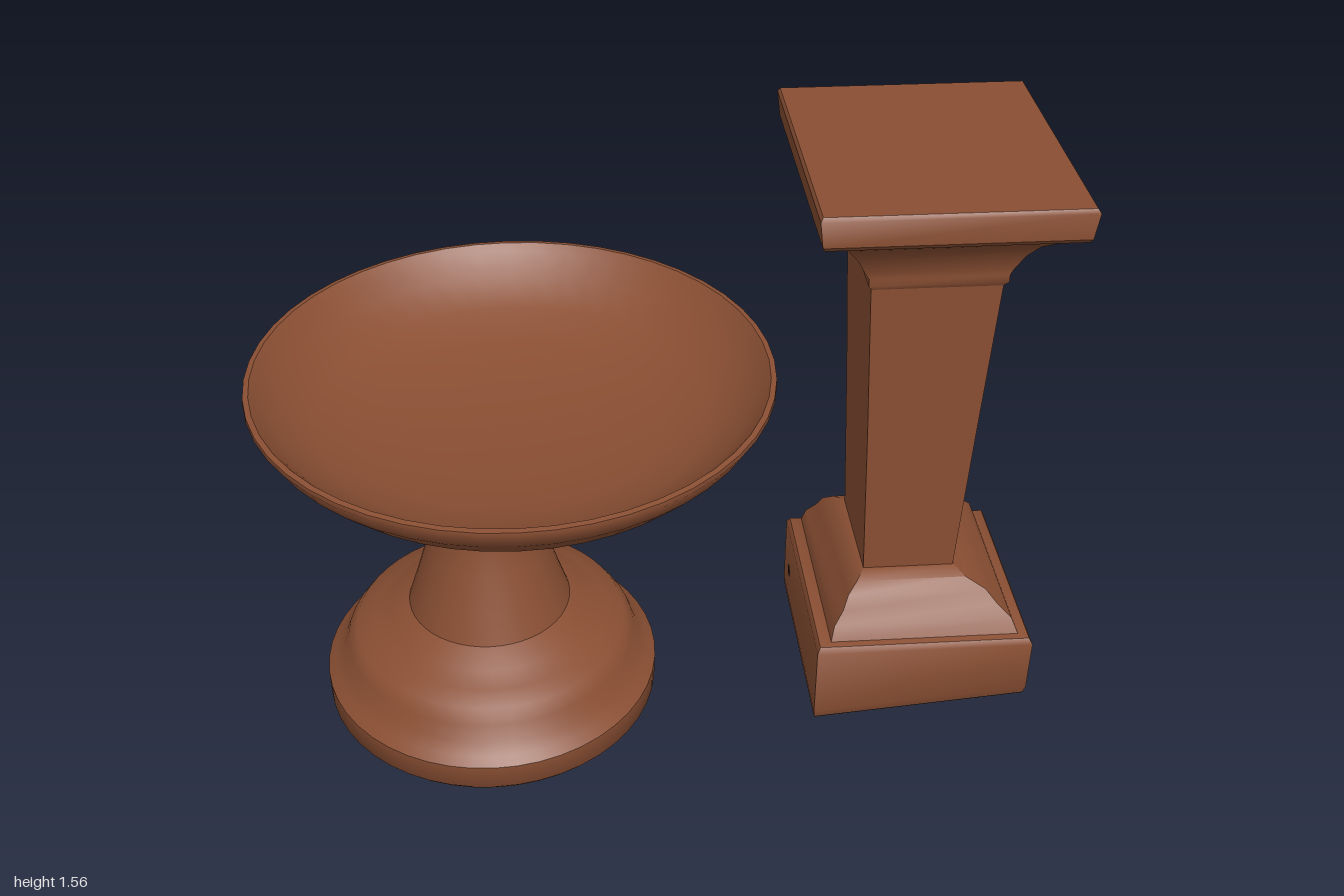
import * as THREE from 'three';
import { toCreasedNormals } from 'three/addons/utils/BufferGeometryUtils.js';

const terracotta = new THREE.MeshStandardMaterial({ color: 0x8a4f33 });
terracotta.name = 'terracotta';
const darkUnderside = new THREE.MeshStandardMaterial({ color: 0x1c1608 });
darkUnderside.name = 'dark underside';

function addMesh(parent, name, geometry, material) {
  const mesh = new THREE.Mesh(geometry, material);
  mesh.name = name;
  parent.add(mesh);
  return mesh;
}

// Round part from [radius, height] pairs, running up the outside
function turned(profile) {
  const points = profile.map(([r, y]) => new THREE.Vector2(r, y));
  return toCreasedNormals(new THREE.LatheGeometry(points, 48), 0.7);
}

// Rectangular loft from [y, x0, x1, z0, z1] rows, from bottom to top
function rectLoft(rows, capBottom, capTop) {
  const pos = [], index = [];
  for (const [y, x0, x1, z0, z1] of rows) {
    // the plinth foot is slanted, rising towards +x
    const foot = (x) => (y < 0.1 ? y + (x - 0.43) * 0.09 : y);
    for (const [x, z] of [[x0, z1], [x1, z1], [x1, z0], [x0, z0]]) pos.push(x, foot(x), z);
  }
  for (let i = 0; i < rows.length - 1; i++) {
    for (let k = 0; k < 4; k++) {
      const a = i * 4 + k, b = i * 4 + (k + 1) % 4;
      index.push(a, b, b + 4, a, b + 4, a + 4);
    }
  }
  const t = (rows.length - 1) * 4;
  if (capTop) index.push(t, t + 1, t + 2, t, t + 2, t + 3);
  if (capBottom) index.push(0, 2, 1, 0, 3, 2);
  const geometry = new THREE.BufferGeometry();
  geometry.setAttribute('position', new THREE.Float32BufferAttribute(pos, 3));
  geometry.setIndex(index);
  return toCreasedNormals(geometry, 0.65);
}

function makeBasin() {
  const basin = new THREE.Group();
  basin.name = 'birdBath';

  // Shallow bowl: outside, rolled lip, then hollow inside
  const bowl = addMesh(basin, 'bowl', turned([
    [0, 0.73], [0.17, 0.732], [0.29, 0.745], [0.4, 0.772], [0.5, 0.812], [0.58, 0.865],
    [0.635, 0.92], [0.665, 0.968], [0.664, 0.98], [0.65, 0.982], [0.635, 0.965],
    [0.59, 0.915], [0.5, 0.862], [0.38, 0.825], [0.22, 0.803], [0, 0.795],
  ]), terracotta);
  bowl.position.x = -0.333;
  bowl.scale.z = 1.057;

  // Flared pedestal with moulded foot and collar
  const pedestal = addMesh(basin, 'pedestal', turned([
    [0.43, 0.01], [0.443, 0.025], [0.445, 0.09], [0.425, 0.11], [0.4, 0.135], [0.385, 0.175],
    [0.36, 0.21], [0.31, 0.225], [0.27, 0.255], [0.215, 0.285], [0.19, 0.36], [0.16, 0.46],
    [0.138, 0.55], [0.136, 0.62], [0.145, 0.68], [0.17, 0.695], [0.18, 0.71], [0.172, 0.735],
  ]), terracotta);
  pedestal.position.x = -0.415;
  pedestal.scale.z = 1.075;

  const underside = addMesh(basin, 'pedestalUnderside', new THREE.CircleGeometry(0.43, 48), darkUnderside);
  underside.rotation.x = Math.PI / 2;
  underside.scale.y = 1.075;
  underside.position.set(-0.415, 0.01, 0);
  return basin;
}

function makePillar() {
  const pillar = new THREE.Group();
  pillar.name = 'pillar';

  // Square plinth with stepped moulding
  addMesh(pillar, 'plinth', rectLoft([
    [0.06, 0.43, 0.985, -0.28, 0.305], [0.085, 0.427, 0.988, -0.28, 0.315],
    [0.28, 0.427, 0.99, -0.28, 0.32], [0.295, 0.435, 0.982, -0.27, 0.31],
    [0.3, 0.465, 0.955, -0.26, 0.295], [0.335, 0.475, 0.94, -0.25, 0.275],
    [0.365, 0.5, 0.905, -0.235, 0.25], [0.4, 0.515, 0.875, -0.215, 0.23],
    [0.425, 0.54, 0.825, -0.185, 0.205], [0.44, 0.562, 0.8, -0.14, 0.17],
  ], false, true), terracotta);
  addMesh(pillar, 'plinthUnderside', rectLoft([
    [0.058, 0.43, 0.985, -0.28, 0.305], [0.06, 0.43, 0.985, -0.28, 0.305],
  ], true, false), darkUnderside);

  // Shaft widening upwards
  addMesh(pillar, 'shaft', rectLoft([
    [0.43, 0.562, 0.797, -0.138, 0.168], [0.86, 0.545, 0.82, -0.147, 0.18],
    [1.29, 0.525, 0.845, -0.157, 0.192],
  ], false, false), terracotta);

  // Flared capital and flat slab
  addMesh(pillar, 'capital', rectLoft([
    [1.275, 0.528, 0.842, -0.155, 0.19], [1.29, 0.518, 0.855, -0.165, 0.2],
    [1.31, 0.518, 0.855, -0.165, 0.2], [1.325, 0.508, 0.862, -0.168, 0.202],
    [1.37, 0.485, 0.882, -0.185, 0.222], [1.41, 0.458, 0.905, -0.235, 0.255],
    [1.44, 0.445, 0.925, -0.28, 0.3], [1.465, 0.42, 0.945, -0.31, 0.34],
    [1.478, 0.38, 0.98, -0.345, 0.37], [1.49, 0.372, 0.985, -0.355, 0.38],
    [1.555, 0.364, 0.995, -0.358, 0.382], [1.565, 0.37, 0.988, -0.352, 0.375],
  ], true, true), terracotta);

  // Small dark pit on the side of the plinth
  const pit = addMesh(pillar, 'plinthPit', new THREE.CircleGeometry(0.018, 12), darkUnderside);
  pit.rotation.y = -Math.PI / 2;
  pit.position.set(0.424, 0.18, -0.18);
  return pillar;
}

export function createModel() {
  const model = new THREE.Group();
  model.name = 'gardenOrnaments';
  model.add(makeBasin(), makePillar());
  return model;
}
